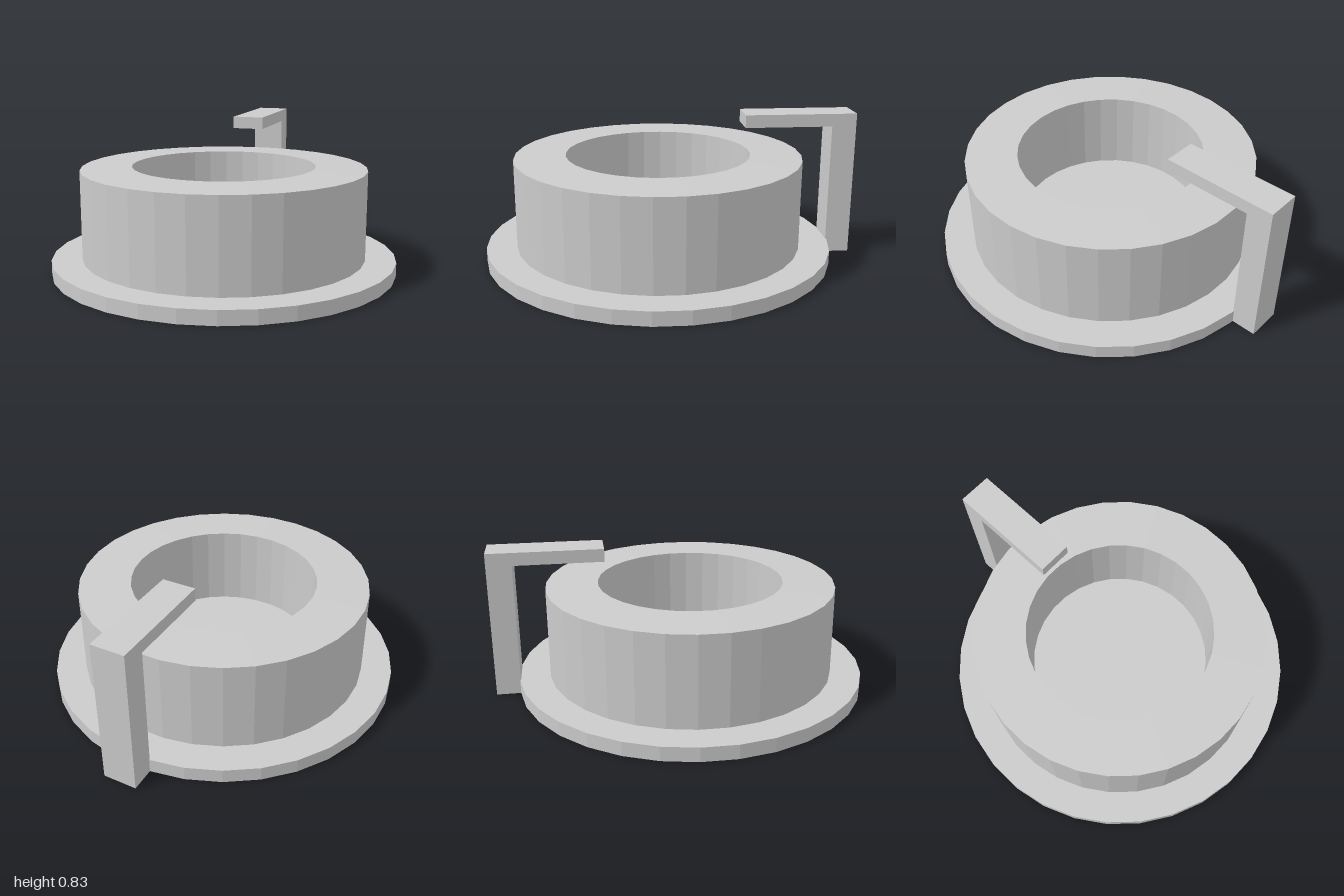
import * as THREE from 'three';

const SIDES = 32;
const material = new THREE.MeshStandardMaterial({
  color: 0xcccccc, flatShading: true, side: THREE.DoubleSide,
});

// Thin shell: open below, with a recessed well in the middle
function makeBody() {
  const profile = [
    [1, 0], [1, 0.08],           // brim edge
    [0.825, 0.08], [0.825, 0.595], // brim top, outer wall
    [0.53, 0.605], [0.53, 0.135],  // sloping top, well wall
    [0, 0.135],                    // well floor
  ].map(([r, y]) => new THREE.Vector2(r, y));
  const body = new THREE.Mesh(new THREE.LatheGeometry(profile, SIDES), material);
  body.name = 'brimmedBody';
  return body;
}

// L-shaped bracket: upright post beside the brim, arm reaching inwards
function makeBracket() {
  const outline = [
    [0.99, 0], [1.13, 0], [1.13, 0.833], [0.49, 0.833], [0.49, 0.76], [0.99, 0.76],
  ].map(([x, y]) => new THREE.Vector2(x, y));
  const width = 0.19;
  const geometry = new THREE.ExtrudeGeometry(new THREE.Shape(outline), {
    depth: width, bevelEnabled: false,
  });
  geometry.translate(0, 0, -width / 2);
  const bracket = new THREE.Mesh(geometry, material);
  bracket.name = 'overhangingBracket';
  bracket.rotation.y = THREE.MathUtils.degToRad(40);
  return bracket;
}

export function createModel() {
  const model = new THREE.Group();
  model.name = 'brimmedWellWithBracket';
  model.add(makeBody(), makeBracket());
  return model;
}
